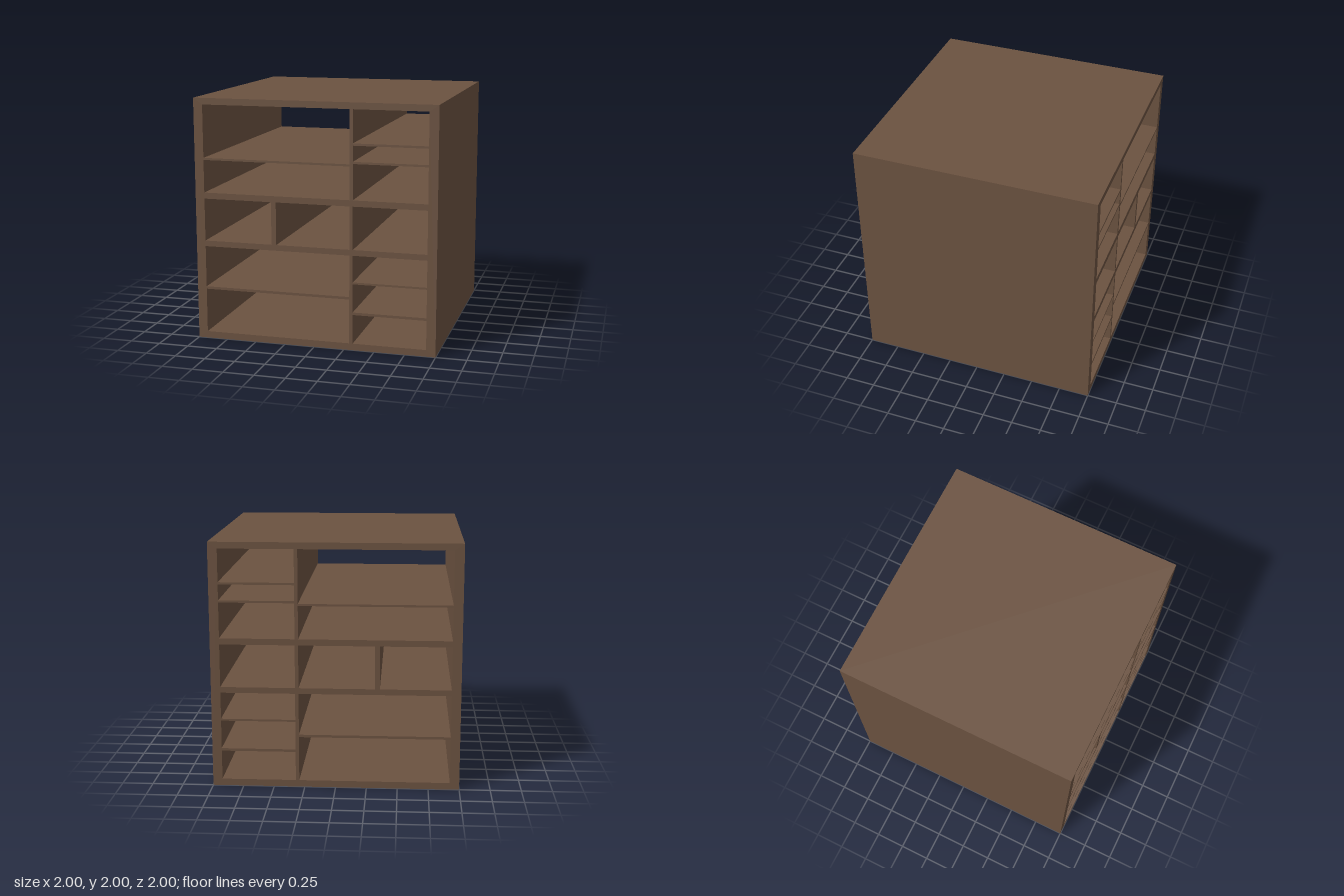
import * as THREE from 'three';

const DEPTH = 2;
const INNER = { left: -0.924, right: 0.924, bottom: 0.055, top: 1.947 };
const DIVIDER = { left: 0.295, right: 0.323 };

export function createModel() {
  const group = new THREE.Group();
  group.name = 'shelfUnit';
  const wood = new THREE.MeshStandardMaterial({ color: 0x6b5240 });
  wood.name = 'brownWood';

  // Board running the full depth, given by its front edges
  function board(name, x0, x1, y0, y1) {
    const mesh = new THREE.Mesh(new THREE.BoxGeometry(x1 - x0, y1 - y0, DEPTH), wood);
    mesh.position.set((x0 + x1) / 2, (y0 + y1) / 2, 0);
    mesh.name = name;
    group.add(mesh);
  }

  // Outer frame, open at the front and back
  const outline = new THREE.Shape([[-1, 0], [1, 0], [1, 2], [-1, 2]].map(p => new THREE.Vector2(...p)));
  const { left, right, bottom, top } = INNER;
  outline.holes.push(new THREE.Path(
    [[left, bottom], [left, top], [right, top], [right, bottom]].map(p => new THREE.Vector2(...p))));
  const frameGeometry = new THREE.ExtrudeGeometry(outline, { depth: DEPTH, bevelEnabled: false });
  frameGeometry.translate(0, 0, -DEPTH / 2);
  const frame = new THREE.Mesh(frameGeometry, wood);
  frame.name = 'outerFrame';
  group.add(frame);

  // Two thick shelves across the whole width
  const thick = [[0.783, 0.83], [1.18, 1.23]];
  thick.forEach(([y0, y1], i) => board(`thickShelf${i + 1}`, left, right, y0, y1));

  // Tall divider, in three lengths between the thick shelves
  [[bottom, 0.783], [0.83, 1.18], [1.23, top]].forEach(([y0, y1], i) =>
    board(`tallDivider${i + 1}`, DIVIDER.left, DIVIDER.right, y0, y1));

  // Short divider in the middle row
  board('shortDivider', -0.354, -0.314, 0.83, 1.18);

  // Thin shelves in the wide bay
  [[0.421, 0.442], [1.498, 1.515]].forEach(([y0, y1], i) =>
    board(`wideShelf${i + 1}`, left, DIVIDER.left, y0, y1));

  // Thin shelves in the narrow bay
  [[0.295, 0.316], [0.549, 0.565], [1.519, 1.536], [1.663, 1.681]].forEach(([y0, y1], i) =>
    board(`narrowShelf${i + 1}`, DIVIDER.right, right, y0, y1));

  return group;
}
